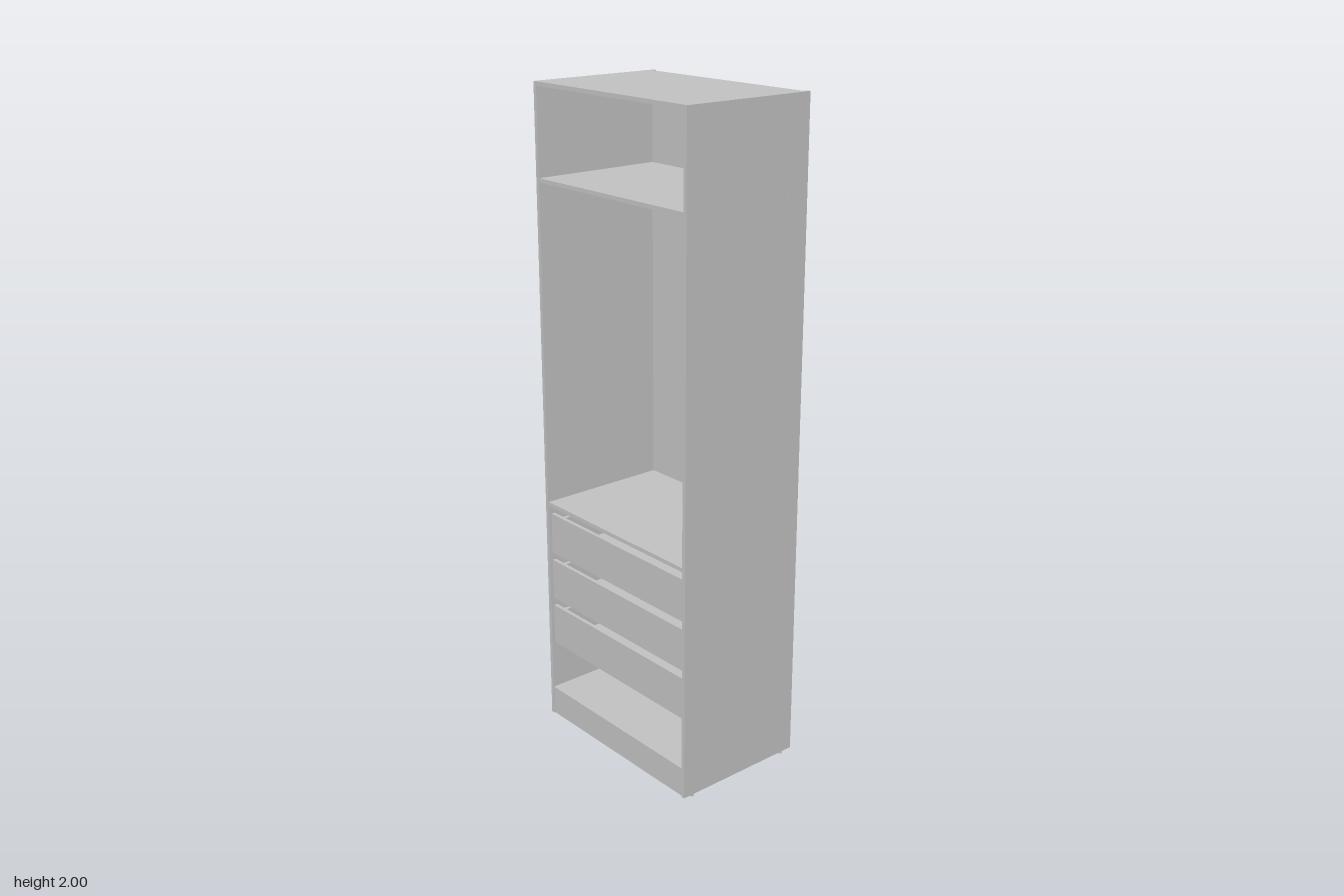
import * as THREE from 'three';

export function createModel() {
  const root = new THREE.Group();
  root.name = 'wardrobeCabinet';
  const grey = new THREE.MeshStandardMaterial({ color: 0xc0c0c0 });
  grey.name = 'board grey';

  // Board spanning the given limits on each axis
  function board(name, x0, x1, y0, y1, z0, z1, parent = root) {
    const mesh = new THREE.Mesh(new THREE.BoxGeometry(x1 - x0, y1 - y0, z1 - z0), grey);
    mesh.position.set((x0 + x1) / 2, (y0 + y1) / 2, (z0 + z1) / 2);
    mesh.name = name;
    parent.add(mesh);
    return mesh;
  }
  function disc(name, r, h, x, y, z, axis = 'y') {
    const mesh = new THREE.Mesh(new THREE.CylinderGeometry(r, r, h, 12), grey);
    if (axis === 'x') mesh.rotation.z = Math.PI / 2;
    mesh.position.set(x, y, z);
    mesh.name = name;
    root.add(mesh);
  }

  const W = 0.325, IN = 0.313, BACK = -0.203;

  // Side panels
  board('rightSide', -W, -IN, 0.008, 2, -0.217, 0.215);
  board('leftSide', IN, W, 0.008, 2, -0.217, 0.215);

  // Top, shelves and floor
  const levels = [['topPanel', 1.988], ['upperShelf', 1.719], ['middleShelf', 0.728], ['floorPanel', 0.09]];
  for (const [name, y] of levels) board(name, -IN, IN, y, y + 0.012, BACK, 0.213);

  // Plinth
  board('frontPlinth', -IN, IN, 0.008, 0.09, 0.199, 0.211);
  board('rearPlinth', -IN, IN, 0.008, 0.09, -0.2, -0.188);

  // Thin back panels, each with a centre joint strip
  const backs = [['upperBack', 1.725, 1.993], ['middleBack', 0.734, 1.66], ['lowerBack', 0.092, 0.734]];
  for (const [name, y0, y1] of backs) {
    board(name, -IN, IN, y0, y1, -0.207, BACK);
    board(name + 'Joint', -0.004, 0.004, y0, y1, -0.209, -0.201);
  }

  // Rear stiffening rails
  board('upperRail', -IN, IN, 1.642, 1.733, -0.217, -0.203);
  board('middleRail', -IN, IN, 0.722, 0.81, -0.217, -0.207);

  // Drawers: front and open box
  [0.26, 0.415, 0.57].forEach((y, i) => {
    const drawer = new THREE.Group();
    drawer.name = 'drawer' + (i + 1);
    board('drawerFront', -0.311, 0.311, y, y + 0.13, 0.193, 0.205, drawer);
    board('drawerBottom', -0.295, 0.295, y + 0.012, y + 0.018, -0.17, 0.193, drawer);
    board('drawerBack', -0.295, 0.295, y + 0.018, y + 0.11, -0.18, -0.17, drawer);
    for (const s of [-1, 1]) {
      const side = board('drawerSide', -0.006, 0.006, y + 0.01, y + 0.11, -0.18, 0.193, drawer);
      side.position.x = s * 0.3;
      const runner = board('drawerRunner', -0.0035, 0.0035, y + 0.03, y + 0.055, -0.18, 0.18, drawer);
      runner.position.x = s * 0.3095;
    }
    root.add(drawer);
  });

  // Fixings and feet on both sides
  for (const s of [-1, 1]) {
    for (const y of [1.957, 1.77, 1.62, 1.23, 0.84, 0.69, 0.416, 0.136])
      disc('backClip', 0.004, 0.014, s * 0.308, y, -0.208);
    for (const [, y] of levels)
      for (const z of [-0.147, 0.162])
        disc('screwCap', 0.003, 0.001, s * W, y + 0.006, z, 'x');
    for (const z of [-0.18, 0.18]) disc('foot', 0.005, 0.008, s * 0.319, 0.004, z);
  }
  return root;
}
